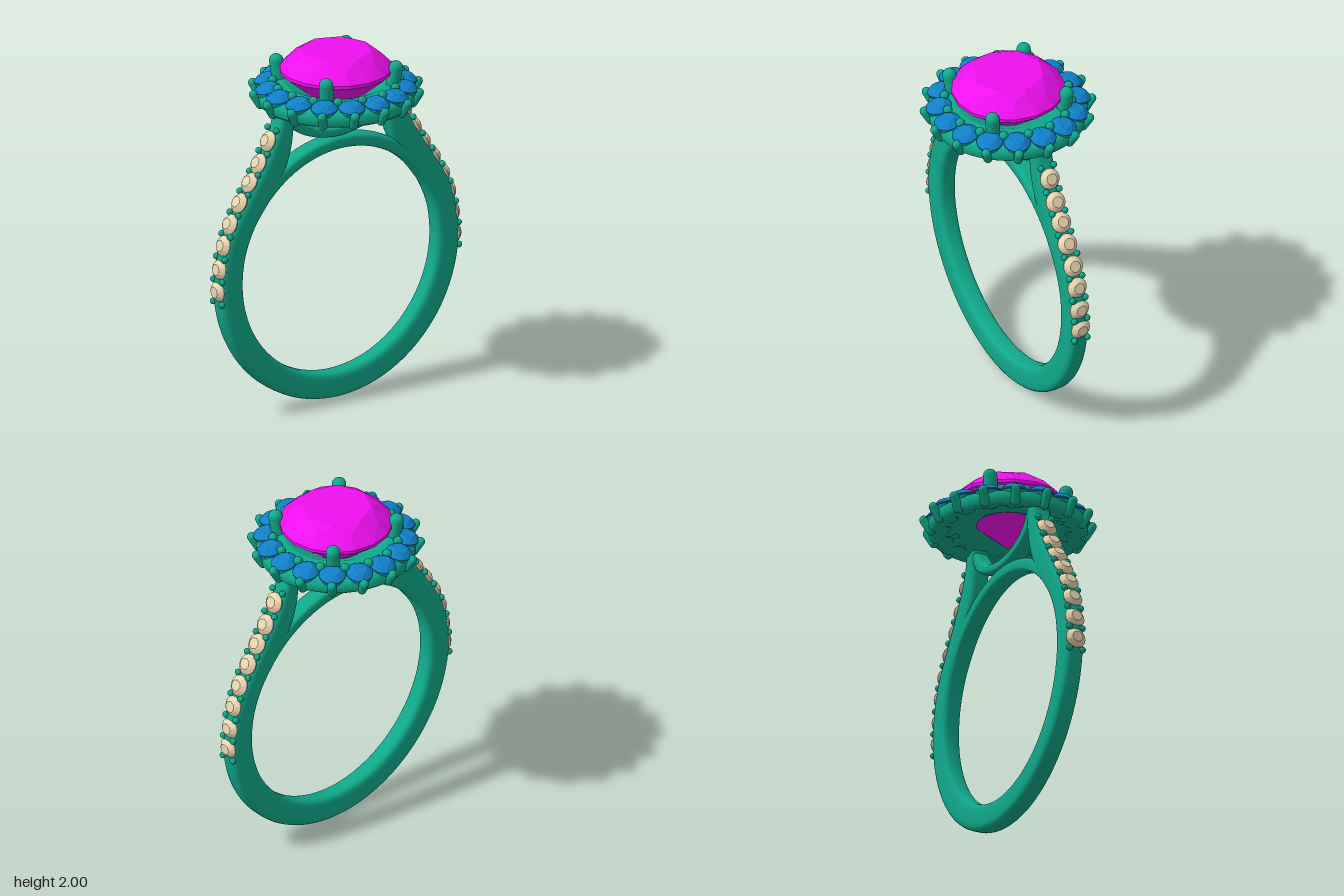
import * as THREE from 'three';
import { ConvexGeometry } from 'three/addons/geometries/ConvexGeometry.js';

const mat = (color, flatShading = false) => new THREE.MeshStandardMaterial({ color, flatShading });
const metal = mat(0x10a88a);
const magenta = mat(0xee10ee, true);
const blue = mat(0x1080c8, true);
const cream = mat(0xe8d5b0, true);
const UP = new THREE.Vector3(0, 1, 0);
const V = (x, y, z = 0) => new THREE.Vector3(x, y, z);

function add(parent, name, geometry, material, position) {
  const mesh = new THREE.Mesh(geometry, material);
  mesh.name = name;
  if (position) mesh.position.copy(position);
  parent.add(mesh);
  return mesh;
}

// Round brilliant cut: octagonal table, kite points, 16-sided girdle, pointed pavilion
function brilliant(r, table, crown, girdle, pavilion) {
  const pts = [V(0, -girdle - pavilion, 0)];
  const ring = (n, rad, y, turn) => {
    for (let i = 0; i < n; i++) {
      const a = (i + turn) / n * Math.PI * 2;
      pts.push(V(rad * Math.cos(a), y, rad * Math.sin(a)));
    }
  };
  ring(8, r * table, crown, 0);
  ring(8, r * (0.5 + table / 2), crown * 0.58, 0.5);
  ring(16, r, 0, 0);
  ring(16, r, -girdle, 0);
  return new ConvexGeometry(pts);
}

// Band in the xy plane, swept between an inner and an outer edge with rounded-square sections
function band(inner, outer, halfZ, steps) {
  const a = new THREE.CatmullRomCurve3(inner), b = new THREE.CatmullRomCurve3(outer);
  const sides = 24, pos = [], idx = [];
  const round = (v) => Math.sign(v) * Math.pow(Math.abs(v), 0.55);
  for (let i = 0; i <= steps; i++) {
    const p = a.getPoint(i / steps), q = b.getPoint(i / steps);
    const mid = p.clone().add(q).multiplyScalar(0.5), d = q.sub(p).multiplyScalar(0.5);
    for (let j = 0; j < sides; j++) {
      const t = j / sides * Math.PI * 2, c = round(Math.cos(t));
      pos.push(mid.x + d.x * c, mid.y + d.y * c, halfZ * round(Math.sin(t)));
      if (i === steps) continue;
      const k = i * sides + j, l = i * sides + (j + 1) % sides;
      idx.push(k, k + sides, l, l, k + sides, l + sides);
    }
  }
  const g = new THREE.BufferGeometry();
  g.setAttribute('position', new THREE.Float32BufferAttribute(pos, 3));
  g.setIndex(idx);
  g.computeVertexNormals();
  return g;
}

// Mirrors a half outline that starts on x = 0
const mirrored = (half) => [...half.slice(1).reverse().map((p) => V(-p.x, p.y)), ...half];
const arc = (r, from, to, n) => Array.from({ length: n + 1 }, (_, i) => {
  const t = THREE.MathUtils.degToRad(from + (to - from) * i / n);
  return V(r * Math.cos(t), 0.795 + r * Math.sin(t));
});
const points = (list) => list.map(([x, y]) => V(x, y));

// Round-ended prong between two points
function prong(parent, name, from, to, r) {
  const dir = to.clone().sub(from);
  const m = add(parent, name, new THREE.CapsuleGeometry(r, dir.length(), 6, 14), metal,
    from.clone().add(to).multiplyScalar(0.5));
  m.quaternion.setFromUnitVectors(UP, dir.normalize());
}

export function createModel() {
  const ring = new THREE.Group();
  ring.name = 'ring';

  // Shank with shoulders rising to the head
  const inner = [...arc(0.64, -90, 0, 8), ...points([[0.622, 0.95], [0.562, 1.1], [0.485, 1.21],
    [0.4, 1.33], [0.345, 1.43], [0.315, 1.54], [0.305, 1.66], [0.3, 1.77]])];
  const outer = [...arc(0.79, -90, 0, 8), ...points([[0.768, 0.97], [0.725, 1.1], [0.65, 1.23],
    [0.565, 1.36], [0.49, 1.48], [0.43, 1.6], [0.4, 1.68], [0.39, 1.77]])];
  add(ring, 'shank', band(mirrored(inner), mirrored(outer), 0.056, 160), metal);

  // Arch that closes the finger hole, and the curved gallery strap above it
  add(ring, 'fingerArch', band(arc(0.64, 35, 145, 12), arc(0.715, 35, 145, 12), 0.052, 60), metal);
  add(ring, 'galleryStrap', band(
    mirrored(points([[0, 1.565], [0.14, 1.587], [0.24, 1.645], [0.3, 1.72]])),
    mirrored(points([[0, 1.51], [0.16, 1.535], [0.28, 1.595], [0.34, 1.68]])), 0.048, 40), metal);

  // Shoulder stones with pairs of beads between them
  const seats = points([[0.783, 0.775], [0.772, 0.9], [0.747, 1.03], [0.704, 1.145],
    [0.642, 1.255], [0.575, 1.358], [0.515, 1.455], [0.452, 1.57]]);
  const beads = points([[0.785, 0.71], [0.783, 0.838], [0.764, 0.965], [0.729, 1.088],
    [0.675, 1.2], [0.61, 1.306], [0.545, 1.406], [0.484, 1.512], [0.425, 1.635]]);
  const paveGeo = brilliant(0.058, 0.55, 0.026, 0.006, 0.04);
  const beadGeo = new THREE.SphereGeometry(0.018, 12, 8);
  for (const s of [1, -1]) {
    const side = new THREE.Group();
    side.name = s > 0 ? 'leftShoulderStones' : 'rightShoulderStones';
    seats.forEach((p, i) => {
      const along = beads[i + 1].clone().sub(beads[i]).normalize();
      const stone = add(side, 'shoulderStone', paveGeo, cream, V(s * p.x, p.y));
      stone.quaternion.setFromUnitVectors(UP, V(s * along.y, -along.x));
    });
    for (const p of beads) {
      for (const z of [-0.04, 0.04]) add(side, 'shoulderBead', beadGeo, metal, V(s * p.x, p.y, z));
    }
    ring.add(side);
  }

  // Halo dish, open in the middle below the centre stone
  const profile = [[0.17, 1.765], [0.2, 1.752], [0.29, 1.745], [0.36, 1.715], [0.41, 1.705],
    [0.43, 1.72], [0.432, 1.765], [0.41, 1.785], [0.34, 1.812], [0.29, 1.822], [0.265, 1.815],
    [0.17, 1.765]].map(([r, y]) => new THREE.Vector2(r, y));
  const dish = add(ring, 'haloDish', new THREE.LatheGeometry(profile, 64), metal);
  dish.material = metal.clone();
  dish.material.side = THREE.DoubleSide;

  // Halo of sixteen tilted stones, each with a cup, an outer prong and an inner bead
  const halo = new THREE.Group();
  halo.name = 'halo';
  const haloGeo = brilliant(0.073, 0.55, 0.028, 0.006, 0.05);
  const cupGeo = new THREE.CylinderGeometry(0.068, 0.052, 0.085, 24);
  const haloBead = new THREE.SphereGeometry(0.025, 14, 10);
  for (let i = 0; i < 16; i++) {
    const a = i / 16 * Math.PI * 2;
    const at = (r, y, t = a) => V(r * Math.cos(t), y, r * Math.sin(t));
    const tilt = new THREE.Quaternion().setFromUnitVectors(UP, at(Math.sin(0.2), Math.cos(0.2)));
    add(halo, 'haloStone', haloGeo, blue, at(0.378, 1.805)).quaternion.copy(tilt);
    add(halo, 'haloCup', cupGeo, metal, at(0.37, 1.758)).quaternion.copy(tilt);
    prong(halo, 'haloProng', at(0.418, 1.716), at(0.455, 1.778), 0.025);
    add(halo, 'haloBead', haloBead, metal, at(0.343, 1.825, a + Math.PI / 16));
  }
  ring.add(halo);

  // Centre stone held by four prongs
  add(ring, 'centreStone', brilliant(0.308, 0.63, 0.1, 0.018, 0.257), magenta, V(0, 1.9, 0));
  for (const x of [-1, 1]) {
    for (const z of [-1, 1]) {
      prong(ring, 'centreProng', V(x * 0.215, 1.77, z * 0.215), V(x * 0.231, 1.915, z * 0.231), 0.039);
    }
  }
  return ring;
}
